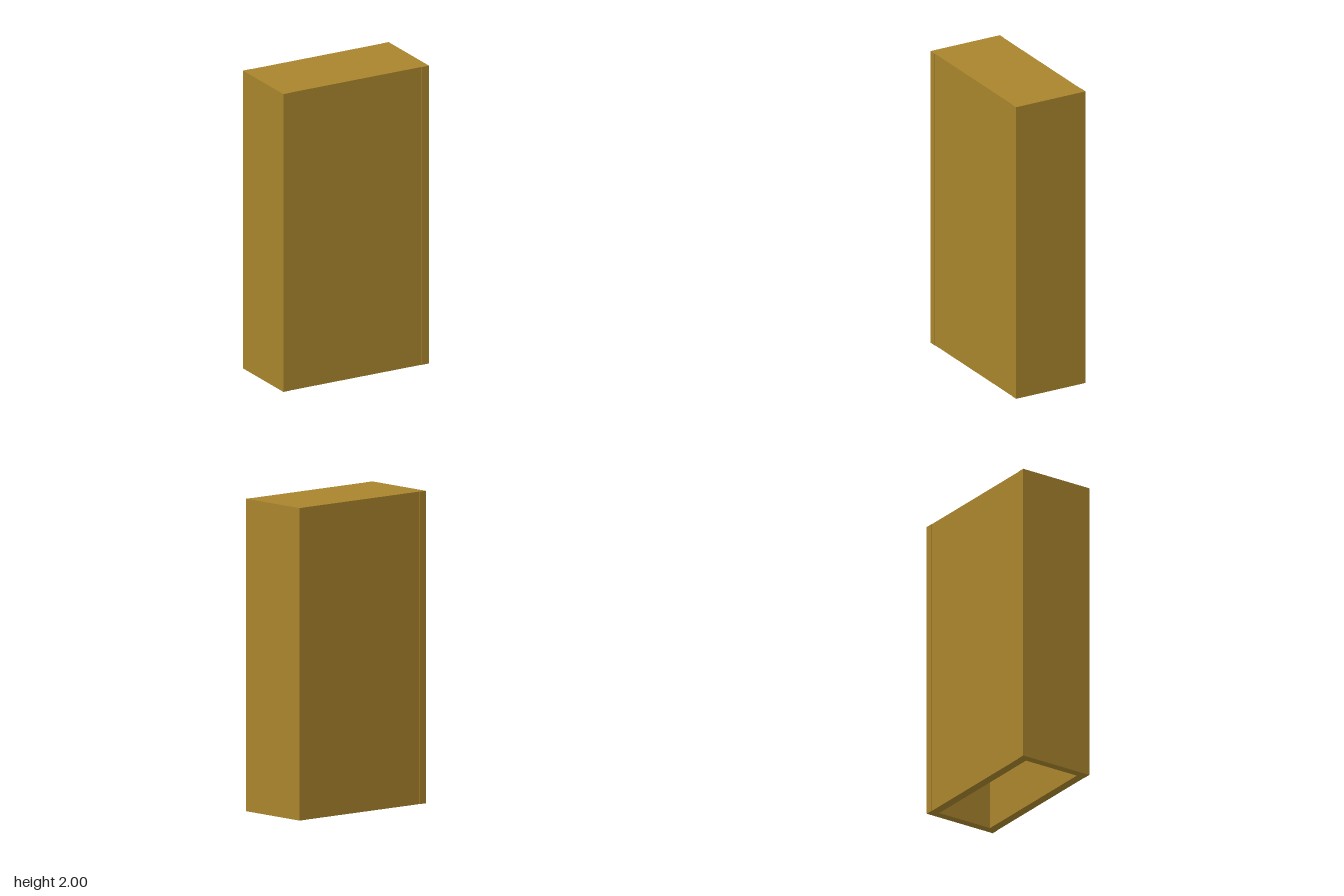
import * as THREE from 'three';

const HEIGHT = 2, HALF_W = 0.532, HALF_D = 0.255;
const SIDE_T = 0.053, INNER_X = HALF_W - SIDE_T;
const PANEL_OUT = 0.2525, PANEL_IN = 0.196, LID_T = 0.055;

export function createModel() {
  const group = new THREE.Group();
  const wood = new THREE.MeshStandardMaterial({ color: 0xa8842c });

  const addBoard = (name, w, h, d, x, y, z) => {
    const mesh = new THREE.Mesh(new THREE.BoxGeometry(w, h, d), wood);
    mesh.name = name;
    mesh.position.set(x, y, z);
    group.add(mesh);
  };

  for (const s of [1, -1]) {
    // Side boards, slightly proud of the front and back
    addBoard(s > 0 ? 'leftSide' : 'rightSide', SIDE_T, HEIGHT, HALF_D * 2,
      s * (HALF_W - SIDE_T / 2), HEIGHT / 2, 0);
    // Front and back panels set between the sides
    addBoard(s > 0 ? 'frontPanel' : 'backPanel', INNER_X * 2, HEIGHT, PANEL_OUT - PANEL_IN,
      0, HEIGHT / 2, s * (PANEL_OUT + PANEL_IN) / 2);
  }

  // Lid flush with the top edges; the bottom stays open
  addBoard('lid', INNER_X * 2, LID_T, PANEL_IN * 2, 0, HEIGHT - LID_T / 2, 0);

  return group;
}
